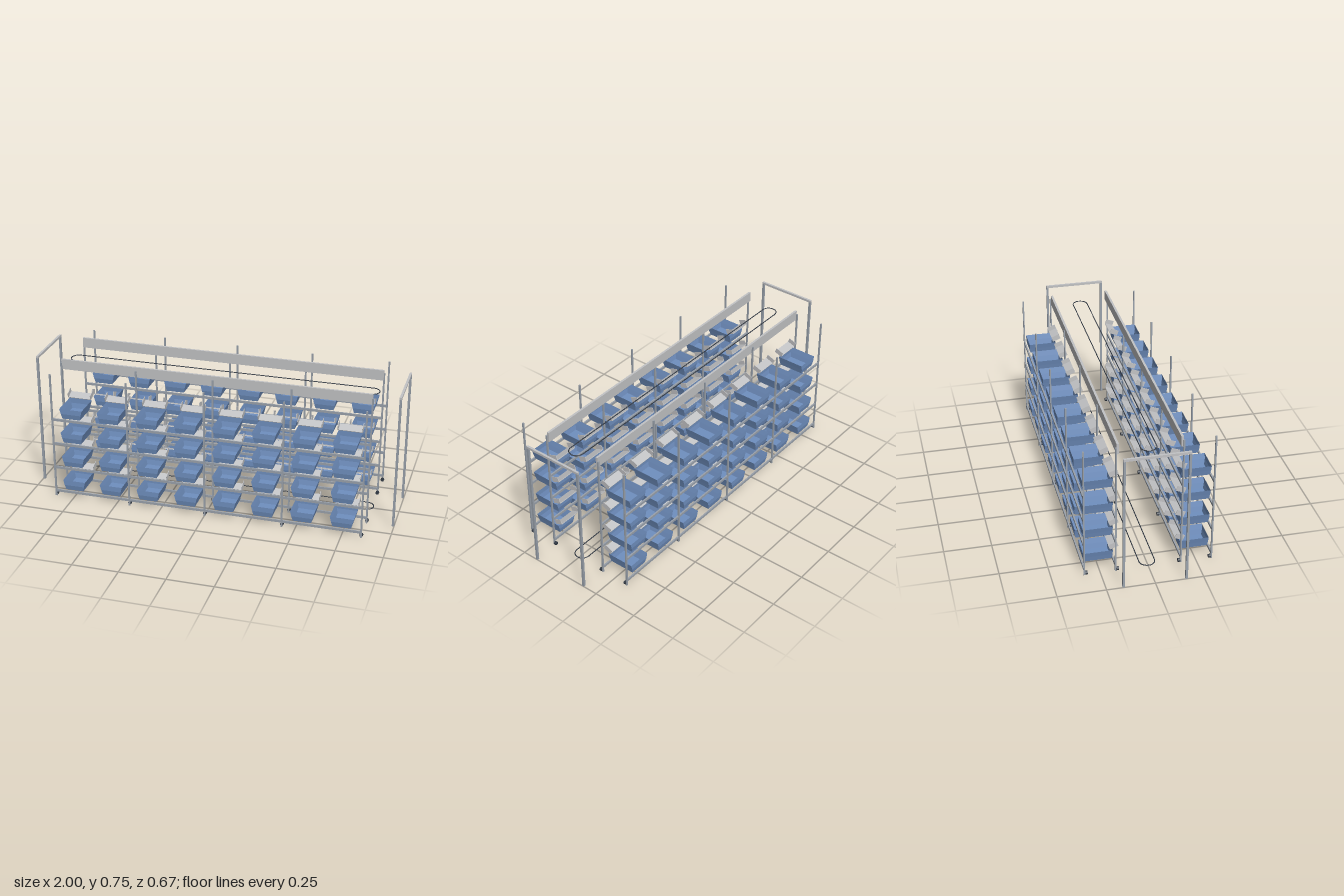
import * as THREE from 'three';

const mat = (name, color, extra = {}) => {
  const m = new THREE.MeshStandardMaterial({ color, ...extra });
  m.name = name;
  return m;
};

export function createModel() {
  const steel = mat('steel grey', 0x9aa2ac);
  const sheet = mat('light sheet grey', 0xc2c3c5);
  const blue = mat('bin blue', 0x7090c0, { side: THREE.DoubleSide });
  const dark = mat('dark rubber', 0x333b46);

  const add = (parent, name, geo, material, x = 0, y = 0, z = 0) => {
    const m = new THREE.Mesh(geo, material);
    m.name = name;
    m.position.set(x, y, z);
    parent.add(m);
    return m;
  };
  const box = (parent, name, material, w, h, d, x, y, z) =>
    add(parent, name, new THREE.BoxGeometry(w, h, d), material, x, y, z);

  const postX = [-0.853, -0.4265, 0, 0.4265, 0.853];
  const levels = [0.04, 0.184, 0.328, 0.471];

  // Open bin lofted through rectangles of [half width, height, half depth]
  const rings = [[0.05, 0, 0.071], [0.0565, 0.028, 0.0765], [0.064, 0.057, 0.0765]];
  const pos = [];
  const corner = (r, k) => {
    const [w, y, d] = rings[r];
    return [[-w, y, d], [w, y, d], [w, y, -d], [-w, y, -d]][k % 4];
  };
  const quad = (a, b, c, d) => pos.push(...a, ...b, ...c, ...a, ...c, ...d);
  quad(corner(0, 0), corner(0, 3), corner(0, 2), corner(0, 1));
  for (let r = 0; r < 2; r++)
    for (let k = 0; k < 4; k++)
      quad(corner(r, k), corner(r, k + 1), corner(r + 1, k + 1), corner(r + 1, k));
  const binGeo = new THREE.BufferGeometry();
  binGeo.setAttribute('position', new THREE.Float32BufferAttribute(pos, 3));
  binGeo.computeVertexNormals();

  // Tilted chute with side flanges, sloping down to the bin
  const makeChute = () => {
    const g = new THREE.Group();
    g.name = 'chute';
    box(g, 'chuteFloor', sheet, 0.128, 0.004, 0.047, 0, 0.002, 0);
    for (const s of [-1, 1])
      box(g, 'chuteFlange', sheet, 0.003, 0.029, 0.047, s * 0.0645, 0.0145, 0);
    g.rotation.x = 0.37;
    return g;
  };

  // One rack side, facing +z
  const makeRack = (name) => {
    const rack = new THREE.Group();
    rack.name = name;
    for (const x of postX) {
      for (const z of [0.332, 0.17]) {
        box(rack, 'rackPost', steel, 0.009, 0.727, 0.008, x, 0.3635, z);
        const foot = add(rack, 'foot', new THREE.CylinderGeometry(0.01, 0.01, 0.012, 8),
          dark, x, 0.012, z - 0.01);
        foot.rotation.x = Math.PI / 2;
      }
    }
    for (const y of levels) {
      for (const z of [0.332, 0.17])
        box(rack, 'shelfRail', steel, 1.71, 0.013, 0.008, 0, y - 0.008, z);
      for (let i = 0; i < 8; i++) {
        const x = (i - 3.5) * 0.2135;
        add(rack, 'bin', binGeo, blue, x, y, 0.2515);
        const chute = makeChute();
        chute.position.set(x, y + 0.073, 0.1685);
        rack.add(chute);
      }
    }
    // Header beam along the top
    box(rack, 'headerBeam', sheet, 1.706, 0.057, 0.012, 0, 0.719, 0.161);
    return rack;
  };

  const model = new THREE.Group();
  model.name = 'sortingRack';
  model.add(makeRack('frontRack'));
  const back = makeRack('backRack');
  back.rotation.y = Math.PI;
  model.add(back);

  // Portal frames at both ends
  for (const s of [-1, 1]) {
    const portal = new THREE.Group();
    portal.name = s > 0 ? 'leftPortal' : 'rightPortal';
    for (const z of [-1, 1])
      box(portal, 'portalPost', steel, 0.012, 0.737, 0.012, s * 0.994, 0.3685, z * 0.162);
    box(portal, 'portalBeam', sheet, 0.012, 0.013, 0.336, s * 0.994, 0.7415, 0);
    model.add(portal);
  }

  // Stadium-shaped guide loops at floor and top
  const loop = new THREE.CurvePath();
  const pts = [];
  for (const s of [1, -1])
    for (let i = 0; i <= 12; i++) {
      const a = -Math.PI / 2 + (Math.PI * i) / 12;
      pts.push(new THREE.Vector3(s * (0.82 + 0.041 * Math.cos(a)), 0, s * 0.041 * Math.sin(a)));
    }
  pts.forEach((p, i) => loop.add(new THREE.LineCurve3(p, pts[(i + 1) % pts.length])));
  const loopGeo = new THREE.TubeGeometry(loop, 400, 0.0027, 8, true);
  for (const y of [0.01, 0.692]) add(model, 'guideLoop', loopGeo, dark, 0, y, 0);

  return model;
}
